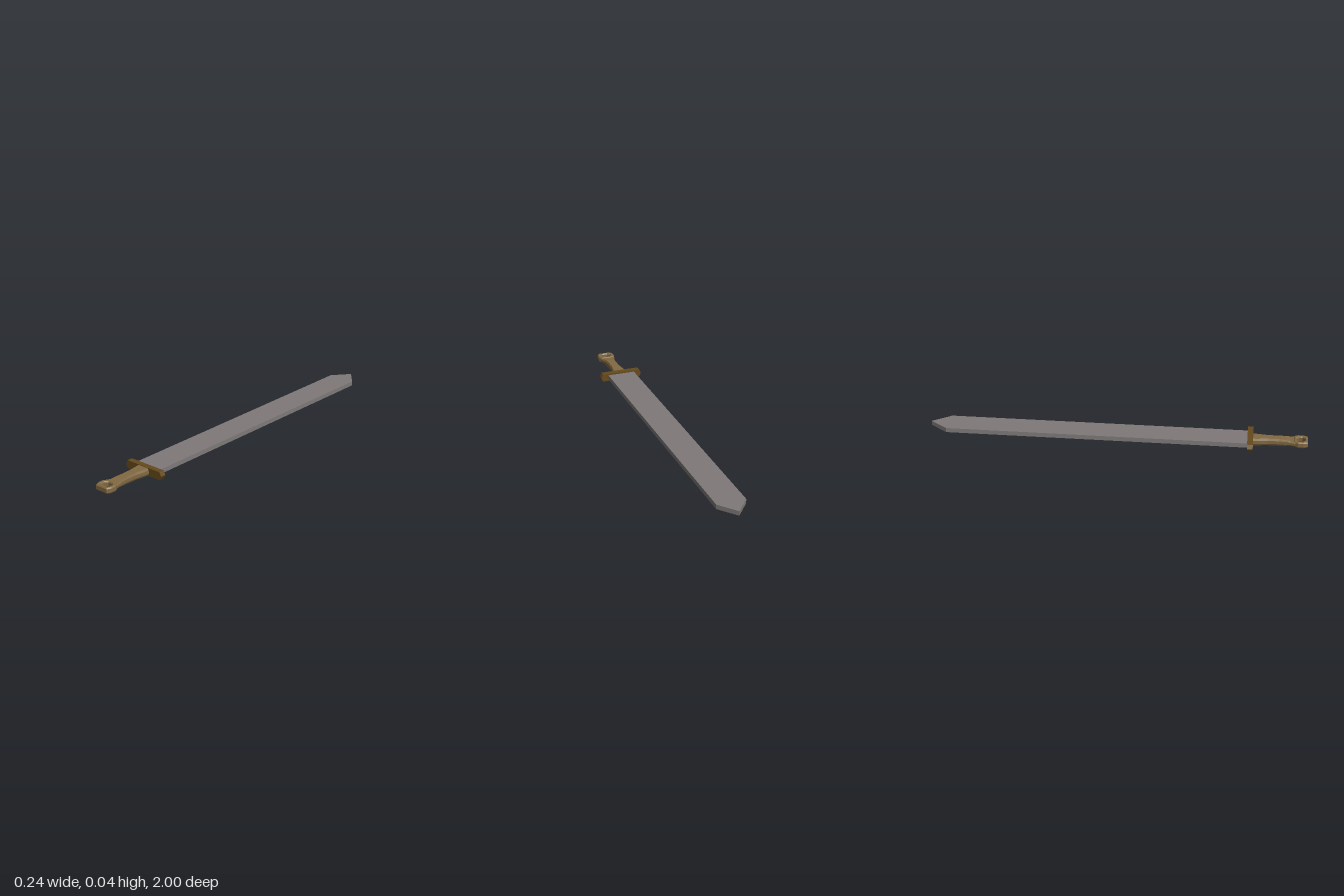
import * as THREE from 'three';

const MID = 0.0215; // height of the sword's middle plane

function material(name, color) {
  const m = new THREE.MeshStandardMaterial({ color });
  m.name = name;
  return m;
}

const shapeOf = (pts) => new THREE.Shape(pts.map(([x, y]) => new THREE.Vector2(x, y)));

// Mirrors a right-hand outline across x = 0
const mirrored = (half) => [...half, ...half.slice().reverse().filter(([x]) => x > 0).map(([x, z]) => [-x, z])];

// Lofts chamfered rectangular sections [z, halfWidth, halfHeight] along z
function loft(sections) {
  const pos = [];
  const rings = sections.map(([z, w, h]) => {
    const c = h * 0.55, e = 0.005;
    return [[w, -h + c], [w, h - c], [w - e, h], [-w + e, h], [-w, h - c], [-w, -h + c], [-w + e, -h], [w - e, -h]]
      .map(([x, y]) => [x, MID + y, z]);
  });
  for (let i = 0; i < rings.length - 1; i++) {
    const a = rings[i], b = rings[i + 1];
    for (let j = 0; j < 8; j++) {
      const k = (j + 1) % 8;
      pos.push(...a[j], ...a[k], ...b[k], ...a[j], ...b[k], ...b[j]);
    }
  }
  const first = rings[0], last = rings[rings.length - 1];
  for (let j = 1; j < 7; j++) {
    pos.push(...first[0], ...first[j + 1], ...first[j]);
    pos.push(...last[0], ...last[j], ...last[j + 1]);
  }
  const g = new THREE.BufferGeometry();
  g.setAttribute('position', new THREE.Float32BufferAttribute(pos, 3));
  g.computeVertexNormals();
  return g;
}

export function createModel() {
  const group = new THREE.Group();
  const steel = material('steel', 0x7f7a79);
  const wood = material('light wood', 0x826a43);
  const bronze = material('dark bronze', 0x664a1c);

  const add = (name, geometry, mat) => {
    const mesh = new THREE.Mesh(geometry, mat);
    mesh.name = name;
    group.add(mesh);
  };

  // Flat blade with a pointed tip at the back
  const bladeShape = shapeOf(mirrored([[0.077, 0.7], [0.077, -0.905], [0, -1]]));
  const blade = new THREE.ExtrudeGeometry(bladeShape, { depth: 0.024, bevelEnabled: false });
  blade.rotateX(Math.PI / 2).translate(0, MID + 0.012, 0);
  add('blade', blade, steel);

  // Crossguard, a bar with pointed ends
  const guardShape = shapeOf([[-0.12, MID], [-0.109, 0], [0.109, 0], [0.12, MID], [0.109, 0.043], [-0.109, 0.043]]);
  const guard = new THREE.ExtrudeGeometry(guardShape, { depth: 0.03, bevelEnabled: false });
  guard.translate(0, 0, 0.686);
  add('crossguard', guard, bronze);

  // Waisted grip, thinning towards the pommel
  add('grip', loft([
    [0.71, 0.037, 0.019], [0.74, 0.034, 0.019], [0.79, 0.027, 0.019], [0.85, 0.026, 0.019],
    [0.885, 0.029, 0.018], [0.91, 0.034, 0.0135], [0.935, 0.041, 0.0135],
  ]), wood);

  // Pommel ring with a chamfered rim and an eight-sided hole
  const rim = 0.004;
  const pommelShape = shapeOf(mirrored([
    [0.032, 0.93], [0.043, 0.95], [0.043, 0.975], [0.034, 0.996],
  ]));
  pommelShape.holes.push(new THREE.Path(mirrored([
    [0.016, 0.936], [0.031, 0.952], [0.031, 0.974], [0.016, 0.988],
  ]).map(([x, z]) => new THREE.Vector2(x, z))));
  const pommel = new THREE.ExtrudeGeometry(pommelShape, {
    depth: 0.02, bevelEnabled: true, bevelThickness: 0.006, bevelSize: rim, bevelSegments: 1,
  });
  pommel.rotateX(Math.PI / 2).translate(0, MID + 0.01, 0);
  add('pommel', pommel, wood);

  return group;
}
